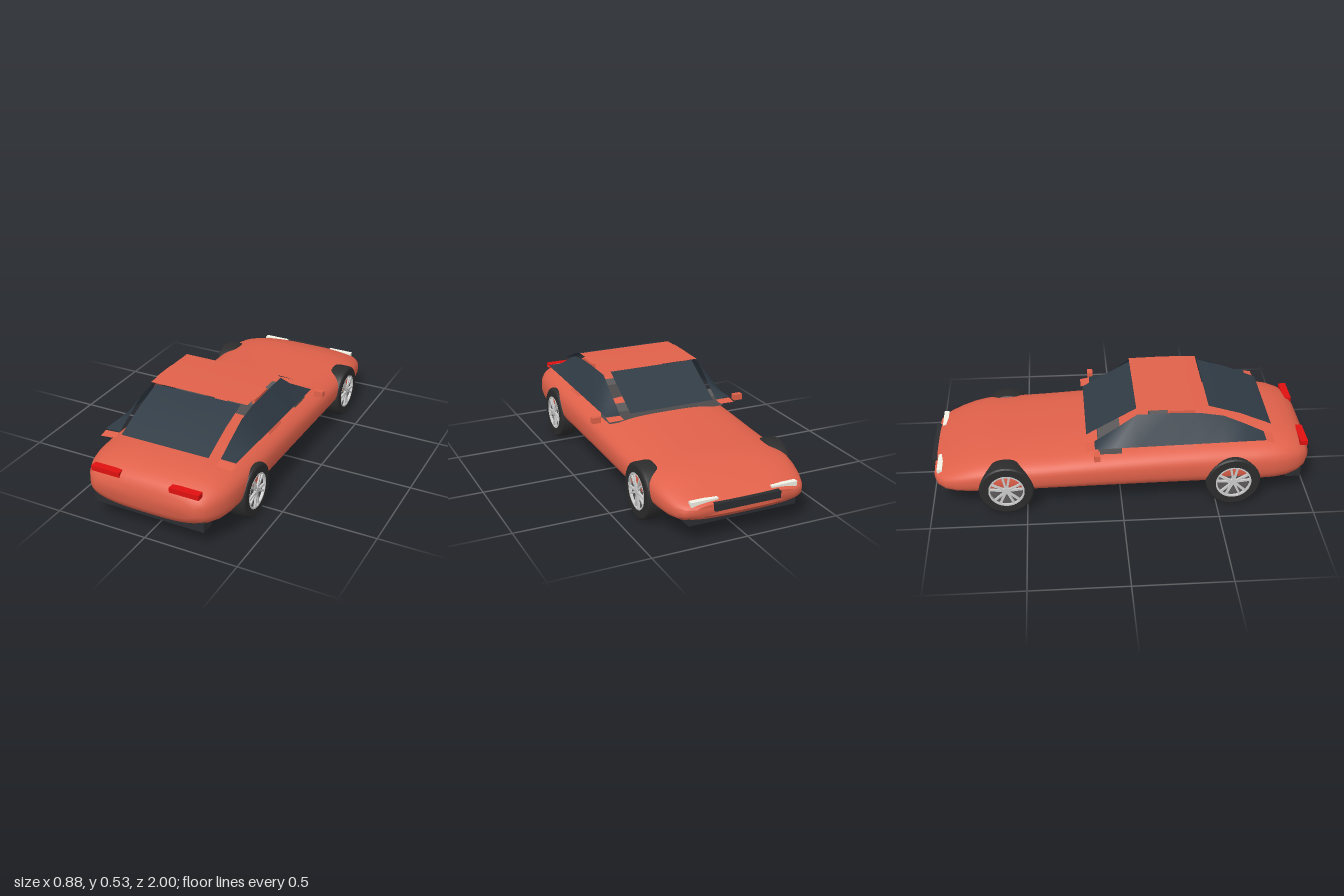
import * as THREE from 'three';
import { toCreasedNormals } from 'three/addons/utils/BufferGeometryUtils.js';

const mat = (color, side = THREE.FrontSide) => new THREE.MeshStandardMaterial({ color, side });
const paint = mat(0xe0614a), paintThin = mat(0xe0614a, THREE.DoubleSide);
const glass = mat(0x303b45, THREE.DoubleSide), rubber = mat(0x2c2c2c), trim = mat(0x2b2d30);
const seatGrey = mat(0x5c5a5a), silver = mat(0xcccccc), red = mat(0xe01010), lamp = mat(0xf2f2e6);

function add(parent, name, geometry, material, x = 0, y = 0, z = 0) {
  const m = new THREE.Mesh(geometry, material);
  m.name = name;
  m.position.set(x, y, z);
  parent.add(m);
  return m;
}

// Box given by its limits on each axis
function box(parent, name, material, [x0, x1], [y0, y1], [z0, z1]) {
  return add(parent, name, new THREE.BoxGeometry(x1 - x0, y1 - y0, z1 - z0), material,
    (x0 + x1) / 2, (y0 + y1) / 2, (z0 + z1) / 2);
}

// Grid of points joined into a surface; rows are arrays of [x, y, z]
function skin(rows) {
  const n = rows[0].length, index = [];
  for (let i = 0; i < rows.length - 1; i++)
    for (let j = 0; j < n - 1; j++) {
      const a = i * n + j, c = a + n;
      index.push(a, a + 1, c, a + 1, c + 1, c);
    }
  const g = new THREE.BufferGeometry();
  g.setAttribute('position', new THREE.Float32BufferAttribute(rows.flat(2), 3));
  g.setIndex(index);
  return g;
}

// Body shell: rounded cross-sections from nose to tail
function bodyGeometry() {
  // z, half width, bottom, top
  const stations = [
    [-0.98, 0.27, 0.135, 0.2], [-0.96, 0.315, 0.112, 0.212], [-0.92, 0.345, 0.092, 0.23],
    [-0.86, 0.368, 0.082, 0.255], [-0.79, 0.382, 0.08, 0.28], [-0.72, 0.39, 0.08, 0.296],
    [-0.6, 0.392, 0.08, 0.302], [-0.4, 0.392, 0.08, 0.311], [-0.2, 0.392, 0.08, 0.325],
    [0, 0.392, 0.08, 0.337], [0.2, 0.392, 0.08, 0.348], [0.45, 0.392, 0.08, 0.357],
    [0.7, 0.392, 0.08, 0.36], [0.8, 0.386, 0.08, 0.358], [0.87, 0.372, 0.085, 0.35],
    [0.93, 0.345, 0.1, 0.332], [0.97, 0.315, 0.125, 0.308], [0.995, 0.275, 0.165, 0.275]];
  const seg = 64;
  const ring = ([z, w, b, t], s = 1) => Array.from({ length: seg + 1 }, (_, j) => {
    const a = (j % seg) / seg * Math.PI * 2;
    const p = v => Math.sign(v) * Math.abs(v) ** (2 / 2.9);
    return [s * w * p(Math.cos(a)), (b + t) / 2 + s * (t - b) / 2 * p(Math.sin(a)), z];
  });
  const rows = stations.map(s => ring(s));
  rows.unshift(ring(stations[0], 0.001));
  rows.push(ring(stations[stations.length - 1], 0.001));
  return toCreasedNormals(skin(rows), 0.7);
}

function wheel(side) {
  const g = new THREE.Group();
  const P = (...list) => list.map(([r, y]) => new THREE.Vector2(r, y));
  const tyre = new THREE.LatheGeometry(P([0.092, -0.047], [0.133, -0.047], [0.141, -0.041], [0.144, -0.03],
    [0.144, 0.03], [0.141, 0.041], [0.133, 0.047], [0.092, 0.047], [0.092, -0.047]), 40);
  add(g, 'tyre', toCreasedNormals(tyre, 0.6), rubber);
  const rim = new THREE.LatheGeometry(P([0.086, -0.045], [0.094, -0.045], [0.094, 0.048], [0.086, 0.048], [0.086, -0.045]), 40);
  add(g, 'rim', toCreasedNormals(rim, 0.6), silver);
  add(g, 'brakeDisc', new THREE.CylinderGeometry(0.088, 0.088, 0.06, 32), seatGrey, 0, 0.004, 0);
  add(g, 'hub', new THREE.CylinderGeometry(0.018, 0.022, 0.016, 16), silver, 0, 0.04, 0);
  // Five pairs of spokes
  for (let i = 0; i < 5; i++)
    for (const d of [-0.2, 0.2]) {
      const spoke = new THREE.BoxGeometry(0.08, 0.011, 0.011).translate(0.049, 0.041, 0);
      add(g, 'spoke', spoke, silver).rotation.y = i / 5 * Math.PI * 2 + d;
    }
  g.rotation.z = -side * Math.PI / 2;
  return g;
}

export function createModel() {
  const car = new THREE.Group();
  car.name = 'car';
  add(car, 'body', bodyGeometry(), paint);

  // Bumpers and lips
  box(car, 'rearBumper', trim, [-0.305, 0.305], [0.1, 0.15], [0.88, 0.96]);
  box(car, 'frontLip', trim, [-0.29, 0.29], [0.09, 0.125], [-0.95, -0.87]);
  box(car, 'frontBumper', trim, [-0.175, 0.175], [0.165, 0.202], [-1, -0.95]);

  // Thin panels of the cabin: roof, windscreen and rear window
  const sheet = (name, material, w, path) => add(car, name,
    skin(path.map(([z, y]) => [[w, y, z], [-w, y, z]])), material).geometry.computeVertexNormals();
  sheet('roof', paintThin, 0.275, [[0.08, 0.527], [0.26, 0.531], [0.45, 0.527]]);
  sheet('windscreen', glass, 0.242, [[-0.18, 0.375], [0.08, 0.525]]);
  sheet('rearWindow', glass, 0.242, [[0.455, 0.525], [0.62, 0.474], [0.79, 0.4]]);

  // Dashboard and seats
  box(car, 'dashboard', seatGrey, [-0.335, 0.335], [0.31, 0.37], [-0.12, 0]);

  // Roofline followed by the top edge of the side windows
  const roofline = [[-0.14, 0.358], [-0.04, 0.425], [0.08, 0.512], [0.25, 0.514], [0.4, 0.51],
    [0.53, 0.487], [0.64, 0.435], [0.745, 0.382]];
  const sill = z => 0.362 + 0.018 * (z + 0.14) / 0.88;

  for (const s of [1, -1]) {
    const span = (a, b) => (s > 0 ? [a, b] : [-b, -a]);
    const panel = (name, material, rows) => add(car, name, skin(rows.map(([z, yTop, yLow]) =>
      [[s * 0.283, yTop, z], [s * 0.365, yLow, z]])), material).geometry.computeVertexNormals();

    panel('sideWindow', glass, roofline.map(([z, y]) => [z, y, sill(z)]));
    panel('frontPillarFoot', paintThin, [[-0.19, 0.35, 0.348], [-0.14, 0.356, 0.358]]);
    panel('rearPillarFoot', paintThin, [[0.745, 0.378, 0.372], [0.79, 0.37, 0.362]]);
    panel('middlePillar', paintThin, [[0.24, 0.5, 0.345], [0.38, 0.5, 0.345]]);
    box(car, 'middlePillarTop', paint, span(0.265, 0.283), [0.5, 0.526], [0.24, 0.38]);

    box(car, 'seat', seatGrey, span(0.065, 0.247), [0.3, 0.42], [0.16, 0.26]);
    box(car, 'mirror', paint, span(0.393, 0.441), [0.337, 0.369], [-0.147, -0.117]);
    box(car, 'tailLight', red, span(0.137, 0.294), [0.291, 0.317], [0.945, 0.985]);
    box(car, 'headlight', lamp, span(0.143, 0.285), [0.192, 0.216], [-0.965, -0.938]);

    for (const [name, z] of [['frontWheel', -0.603], ['rearWheel', 0.583]]) {
      const w = wheel(s);
      w.name = name;
      w.position.set(s * 0.353, 0.144, z);
      car.add(w);
    }
  }
  return car;
}
